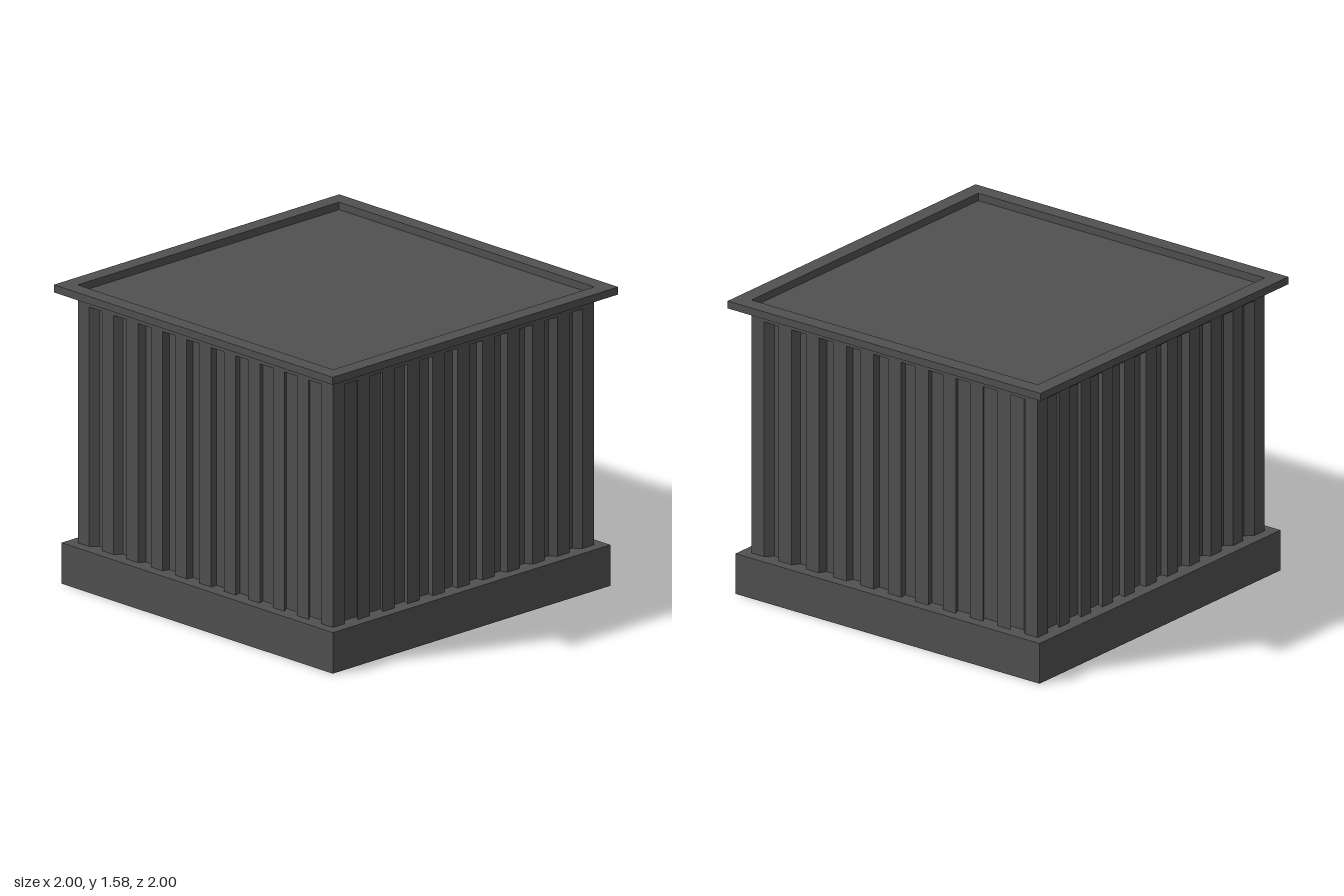
import * as THREE from 'three';

const BASE_TOP = 0.217, GROOVE_TOP = 1.485, BODY_TOP = 1.543, ROOF_TOP = 1.583;
const BODY = 0.915;      // half width of the walls
const INSET = 0.958;     // groove backs are the wall outline scaled inwards
const GROOVES = 10, PITCH = 0.175, HALF_GROOVE = 0.046;

const material = new THREE.MeshStandardMaterial({ color: 0x505050, flatShading: true });

function part(name, geometry) {
  const mesh = new THREE.Mesh(geometry, material);
  mesh.name = name;
  return mesh;
}

// Square slab from half width and bottom / top heights
function slab(name, half, y0, y1) {
  return part(name, new THREE.BoxGeometry(2 * half, y1 - y0, 2 * half).translate(0, (y0 + y1) / 2, 0));
}

// Plan outline extruded upwards between two heights
function upright(name, shape, y0, y1) {
  const geometry = new THREE.ExtrudeGeometry(shape, { depth: y1 - y0, bevelEnabled: false });
  return part(name, geometry.rotateX(-Math.PI / 2).translate(0, y0, 0));
}

function square(half) {
  return [[-half, -half], [half, -half], [half, half], [-half, half]].map(([x, y]) => new THREE.Vector2(x, y));
}

// Grooved wall outline: one side, repeated by quarter turns
function groovedOutline() {
  const side = [new THREE.Vector2(-BODY, -BODY)];
  for (let i = 0; i < GROOVES; i++) {
    const c = (i - (GROOVES - 1) / 2) * PITCH;
    const a = new THREE.Vector2(c - HALF_GROOVE, -BODY);
    const b = new THREE.Vector2(c + HALF_GROOVE, -BODY);
    side.push(a, a.clone().multiplyScalar(INSET), b.clone().multiplyScalar(INSET), b);
  }
  const origin = new THREE.Vector2();
  const points = [];
  for (let q = 0; q < 4; q++) {
    for (const p of side) points.push(p.clone().rotateAround(origin, q * Math.PI / 2));
  }
  return new THREE.Shape(points);
}

export function createModel() {
  const model = new THREE.Group();
  model.name = 'slattedBox';

  model.add(slab('base', 0.972, 0, BASE_TOP));
  model.add(upright('groovedWalls', groovedOutline(), BASE_TOP, GROOVE_TOP));
  model.add(slab('wallTop', BODY, GROOVE_TOP, BODY_TOP));

  // Overhanging rim around the sunken top
  const rim = new THREE.Shape(square(1));
  rim.holes.push(new THREE.Path(square(BODY)));
  model.add(upright('topRim', rim, BODY_TOP, ROOF_TOP));

  return model;
}
